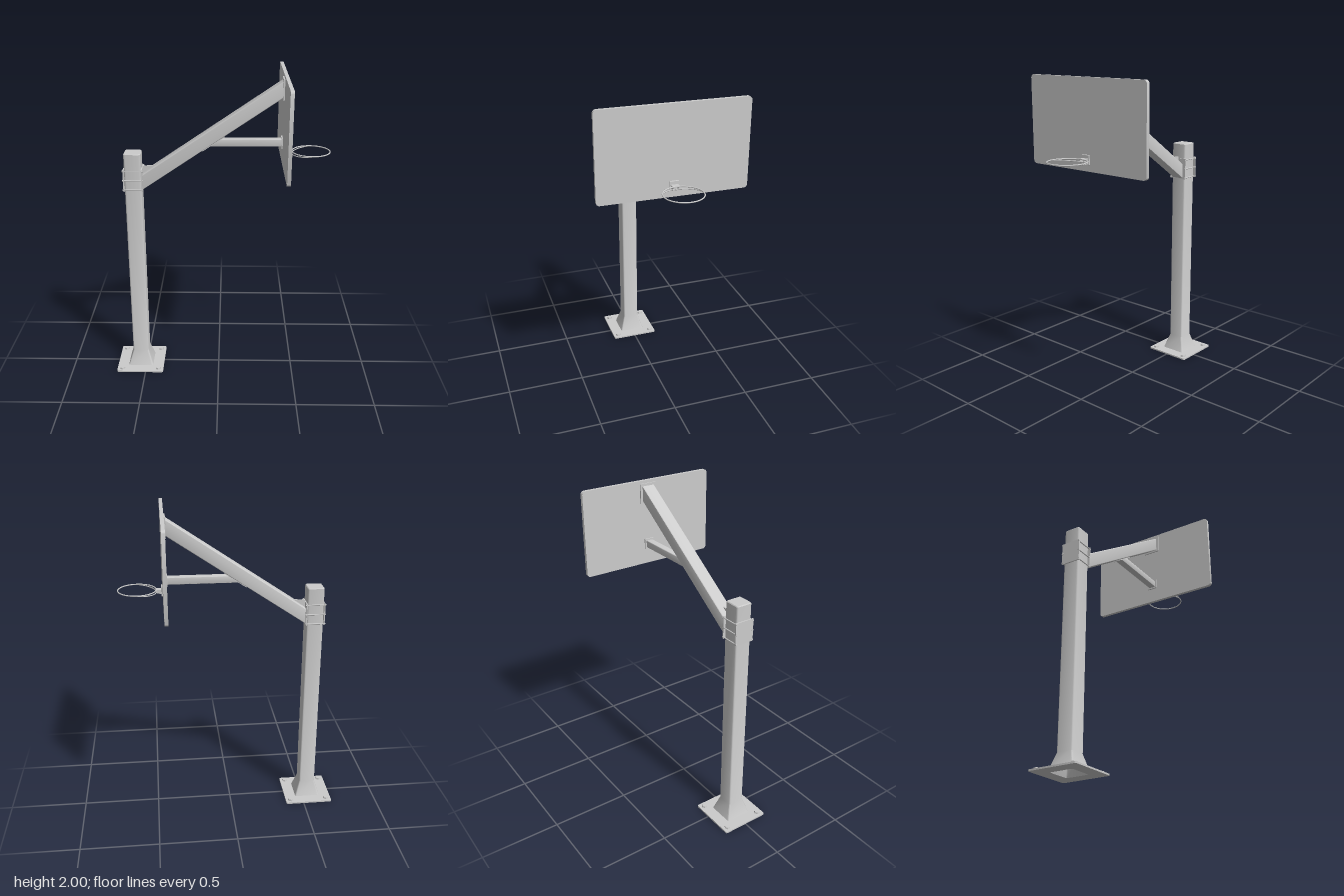
import * as THREE from 'three';
import { toCreasedNormals } from 'three/addons/utils/BufferGeometryUtils.js';
import { RoundedBoxGeometry } from 'three/addons/geometries/RoundedBoxGeometry.js';

const material = new THREE.MeshStandardMaterial({ color: 0xcccccc });
const POST_X = -0.537;

function add(parent, name, geometry, x = 0, y = 0, z = 0) {
  const mesh = new THREE.Mesh(geometry, material);
  mesh.name = name;
  mesh.position.set(x, y, z);
  parent.add(mesh);
  return mesh;
}

// Skin through rounded squares, each given as [y, half width, corner radius]
function loftSquares(rings, steps = 4) {
  const n = 4 * (steps + 1), pos = [], index = [];
  for (const [y, half, r] of rings) {
    for (let k = 0; k < 4; k++) {
      const mid = Math.PI / 4 + k * Math.PI / 2;
      const c = (half - r) * Math.SQRT2;
      for (let s = 0; s <= steps; s++) {
        const a = (k + s / steps) * Math.PI / 2;
        pos.push(c * Math.cos(mid) + r * Math.cos(a), y, -c * Math.sin(mid) - r * Math.sin(a));
      }
    }
  }
  for (let i = 0; i < rings.length - 1; i++) {
    for (let j = 0; j < n; j++) {
      const a = i * n + j, b = i * n + (j + 1) % n;
      if (rings[i][1] > 0) index.push(a, b, b + n);
      if (rings[i + 1][1] > 0) index.push(a, b + n, a + n);
    }
  }
  const g = new THREE.BufferGeometry();
  g.setAttribute('position', new THREE.Float32BufferAttribute(pos, 3));
  g.setIndex(index);
  return toCreasedNormals(g, 0.5);
}

// Side outline in x, y extruded symmetrically across z
function sideProfile(points, width, bevel = 0) {
  const shape = new THREE.Shape(points.map(([x, y]) => new THREE.Vector2(x, y)));
  const g = new THREE.ExtrudeGeometry(shape, {
    depth: width - 2 * bevel, bevelEnabled: bevel > 0, bevelSize: bevel,
    bevelThickness: bevel, bevelOffset: -bevel, bevelSegments: 3,
  });
  g.translate(0, 0, -width / 2 + bevel);
  return toCreasedNormals(g, 0.6);
}

function roundedPanel(width, height, depth, r) {
  const w = width / 2, h = height / 2;
  const s = new THREE.Shape();
  s.moveTo(-w + r, -h);
  s.absarc(w - r, -h + r, r, -Math.PI / 2, 0);
  s.absarc(w - r, h - r, r, 0, Math.PI / 2);
  s.absarc(-w + r, h - r, r, Math.PI / 2, Math.PI);
  s.absarc(-w + r, -h + r, r, Math.PI, Math.PI * 1.5);
  const g = new THREE.ExtrudeGeometry(s, { depth, bevelEnabled: false, curveSegments: 8 });
  g.translate(0, 0, -depth / 2);
  g.rotateY(Math.PI / 2);
  return toCreasedNormals(g, 0.6);
}

export function createModel() {
  const model = new THREE.Group();
  model.name = 'basketballHoop';

  // Hollow post with flared foot and base plate
  add(model, 'post', loftSquares([
    [1.5, 0, 0], [1.5, 0.044, 0.008], [0.11, 0.044, 0.008], [0, 0.074, 0.008],
    [0, 0.157, 0.01], [0.01, 0.157, 0.01], [0.01, 0.084, 0.012],
    [0.11, 0.053, 0.012], [1.515, 0.053, 0.012], [1.52, 0.049, 0.009], [1.52, 0, 0],
  ]), POST_X);

  // Anchor bolts
  for (const sx of [-1, 1]) for (const sz of [-1, 1]) {
    const bolt = toCreasedNormals(new THREE.CylinderGeometry(0.017, 0.019, 0.011, 6), 0.5);
    add(model, 'anchorBolt', bolt, POST_X + sx * 0.123, 0.0155, sz * 0.123);
  }

  // Clamp: two plates joined by threaded rods
  const clamp = new THREE.Group();
  clamp.name = 'clamp';
  clamp.position.set(POST_X, 1.35, 0);
  model.add(clamp);
  for (const sx of [-1, 1]) {
    add(clamp, 'clampPlate', new THREE.BoxGeometry(0.007, 0.142, 0.126), sx * 0.0565);
  }
  for (const y of [-0.062, 0, 0.062]) for (const sz of [-1, 1]) {
    const rod = new THREE.CylinderGeometry(0.004, 0.004, 0.124, 10);
    rod.rotateZ(Math.PI / 2);
    add(clamp, 'clampRod', rod, 0, y, sz * 0.058);
    for (const sx of [-1, 1]) {
      const nut = toCreasedNormals(new THREE.CylinderGeometry(0.006, 0.006, 0.005, 6), 0.5);
      nut.rotateZ(Math.PI / 2);
      add(clamp, 'clampNut', nut, sx * 0.0615, y, sz * 0.058);
    }
  }

  // Sloping arm, gusset and end plate
  add(model, 'arm', sideProfile(
    [[-0.48, 1.283], [0.388, 1.87], [0.388, 1.97], [-0.48, 1.383]], 0.085, 0.008));
  add(model, 'gusset', sideProfile([[-0.478, 1.36], [-0.385, 1.425], [-0.38, 1.438], [-0.478, 1.43]], 0.009));
  add(model, 'armEndPlate', new THREE.BoxGeometry(0.009, 0.125, 0.114), 0.388, 1.92, 0);

  // Horizontal brace with its mounting plates
  add(model, 'brace', sideProfile(
    [[-0.062, 1.564], [0.388, 1.564], [0.388, 1.61], [0.008, 1.61]], 0.046, 0.004));
  add(model, 'braceArmPlate', sideProfile(
    [[-0.1, 1.534], [0.035, 1.625], [0.035, 1.635], [-0.1, 1.544]], 0.064));
  add(model, 'braceEndPlate', new THREE.BoxGeometry(0.009, 0.066, 0.066), 0.388, 1.587, 0);

  // Backboard
  add(model, 'backboard', roundedPanel(0.916, 0.546, 0.022, 0.022), 0.403, 1.727, 0);

  // Rim bracket
  add(model, 'rimPlate', new RoundedBoxGeometry(0.009, 0.06, 0.058, 2, 0.003), 0.418, 1.524, 0);
  add(model, 'rimNeck', new THREE.BoxGeometry(0.04, 0.005, 0.046), 0.438, 1.53, 0);
  for (const sz of [-1, 1]) {
    const web = sideProfile([[0.42, 1.505], [0.452, 1.513], [0.456, 1.53], [0.42, 1.53]], 0.004);
    add(model, 'rimWeb', web, 0, 0, sz * 0.017);
  }

  // Ring and the lower rod that rises to meet its sides
  const ring = new THREE.TorusGeometry(0.117, 0.0038, 10, 64);
  ring.rotateX(Math.PI / 2);
  add(model, 'ring', ring, 0.57, 1.53, 0);
  const supportPoints = [];
  for (let i = 0; i <= 16; i++) {
    const a = Math.PI * (0.5 + i / 16);
    supportPoints.push(new THREE.Vector3(
      0.57 + 0.117 * Math.cos(a), 1.528 + 0.013 * Math.cos(a), 0.117 * Math.sin(a)));
  }
  add(model, 'ringSupport',
    new THREE.TubeGeometry(new THREE.CatmullRomCurve3(supportPoints), 48, 0.003, 8));

  return model;
}
